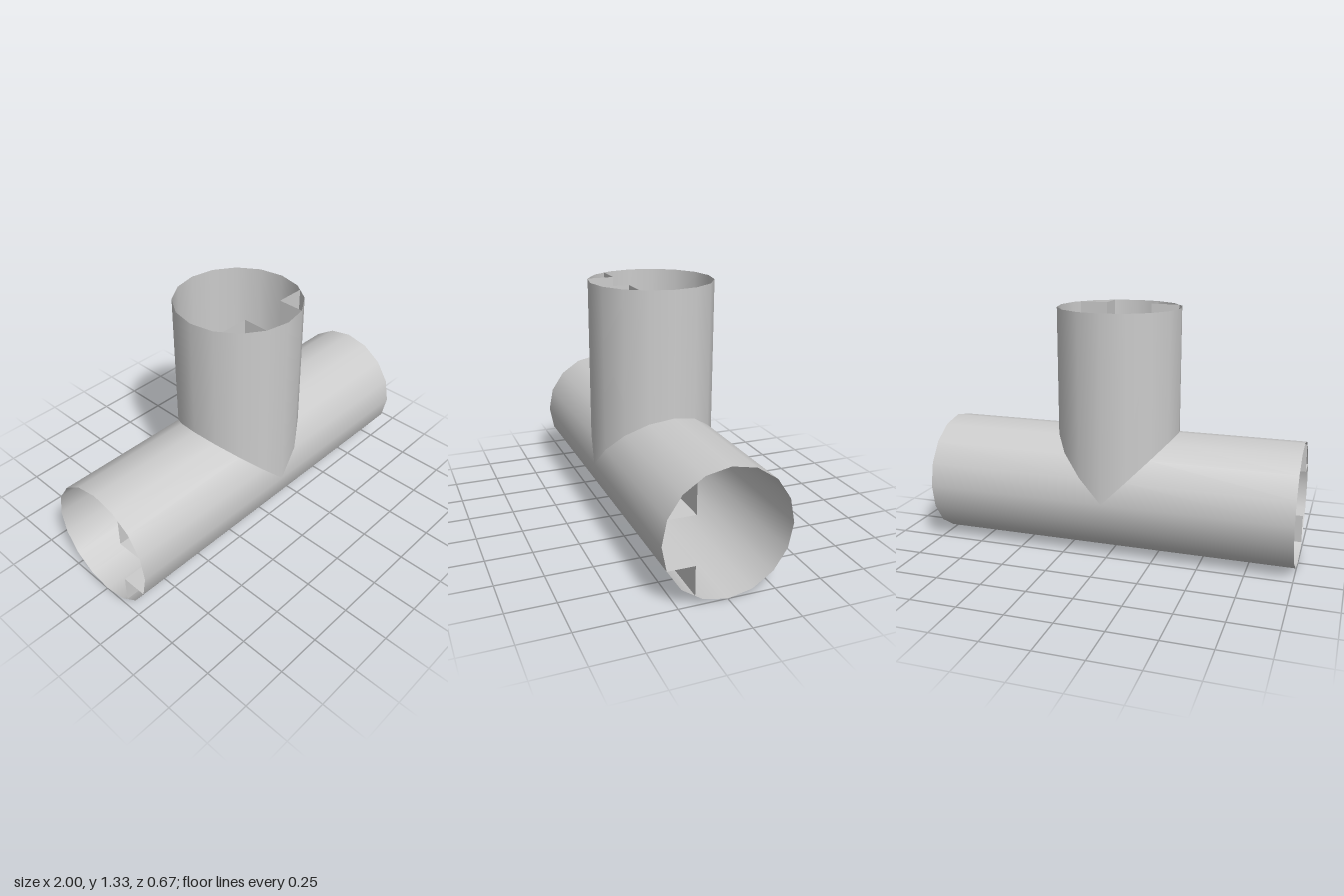
import * as THREE from 'three';

const R = 1 / 3;                       // pipe radius and height of the junction centre
const SIDES = 16;
const STEP = (Math.PI * 2) / SIDES;
const SLOT = R * Math.sin(STEP);       // half width of the key slot
const WALL = R * Math.cos(STEP);       // where the slot sides meet the wall
const FACE = R / 2;                    // depth of the rail faces
// half width of the pipe wall at the depth of the rail faces
const f = (FACE - SLOT) / (R * Math.SQRT1_2 - SLOT);
const CHORD = WALL + f * (R * Math.SQRT1_2 - WALL);

export function createModel() {
  const group = new THREE.Group();
  const material = new THREE.MeshStandardMaterial({ color: 0xcccccc, side: THREE.DoubleSide });

  function add(name, geometry) {
    const mesh = new THREE.Mesh(geometry, material);
    mesh.name = name;
    mesh.position.y = R;
    group.add(mesh);
  }

  // Open pipe of unit length along y, its base mitred by a rule in x
  function pipe(name, angle, cut) {
    const geometry = new THREE.CylinderGeometry(R, R, 1, SIDES, 1, true).translate(0, 0.5, 0);
    const p = geometry.attributes.position;
    for (let i = 0; i < p.count; i++) {
      if (p.getY(i) < 0.5) p.setY(i, cut(p.getX(i)));
    }
    add(name, geometry.rotateZ(angle));
  }
  pipe('uprightPipe', 0, (x) => Math.abs(x));
  pipe('leftPipe', -Math.PI / 2, (x) => Math.max(0, -x));
  pipe('rightPipe', Math.PI / 2, (x) => Math.max(0, x));

  // Flat rail face standing at the rail depth
  function railFace(name, points) {
    const shape = new THREE.Shape(points.map(([x, y]) => new THREE.Vector2(x, y)));
    add(name, new THREE.ShapeGeometry(shape).translate(0, 0, FACE));
  }

  // Slot side running from the rail face back to the pipe wall
  const depth = WALL - FACE;
  const mid = (WALL + FACE) / 2;
  function ledge(name, x0, x1, y) {
    add(name, new THREE.PlaneGeometry(x1 - x0, depth)
      .rotateX(y > 0 ? Math.PI / 2 : -Math.PI / 2).translate((x0 + x1) / 2, y, mid));
  }

  // Continuous lower rail
  railFace('lowerRailFace', [[-1, -CHORD], [1, -CHORD], [1, -SLOT], [-1, -SLOT]]);
  ledge('lowerRailLedge', -1, 1, -SLOT);

  // L-shaped upper rails turning up into the upright pipe
  for (const s of [1, -1]) {
    const side = s > 0 ? 'left' : 'right';
    railFace(side + 'RailFace', [
      [s * SLOT, SLOT], [s, SLOT], [s, CHORD],
      [s * CHORD, CHORD], [s * CHORD, 1], [s * SLOT, 1],
    ]);
    ledge(side + 'RailLedge', s > 0 ? SLOT : -1, s > 0 ? 1 : -SLOT, SLOT);
    add(side + 'UprightRailSide', new THREE.PlaneGeometry(depth, 1 - SLOT)
      .rotateY(-s * Math.PI / 2).translate(s * SLOT, (1 + SLOT) / 2, mid));
  }

  return group;
}
